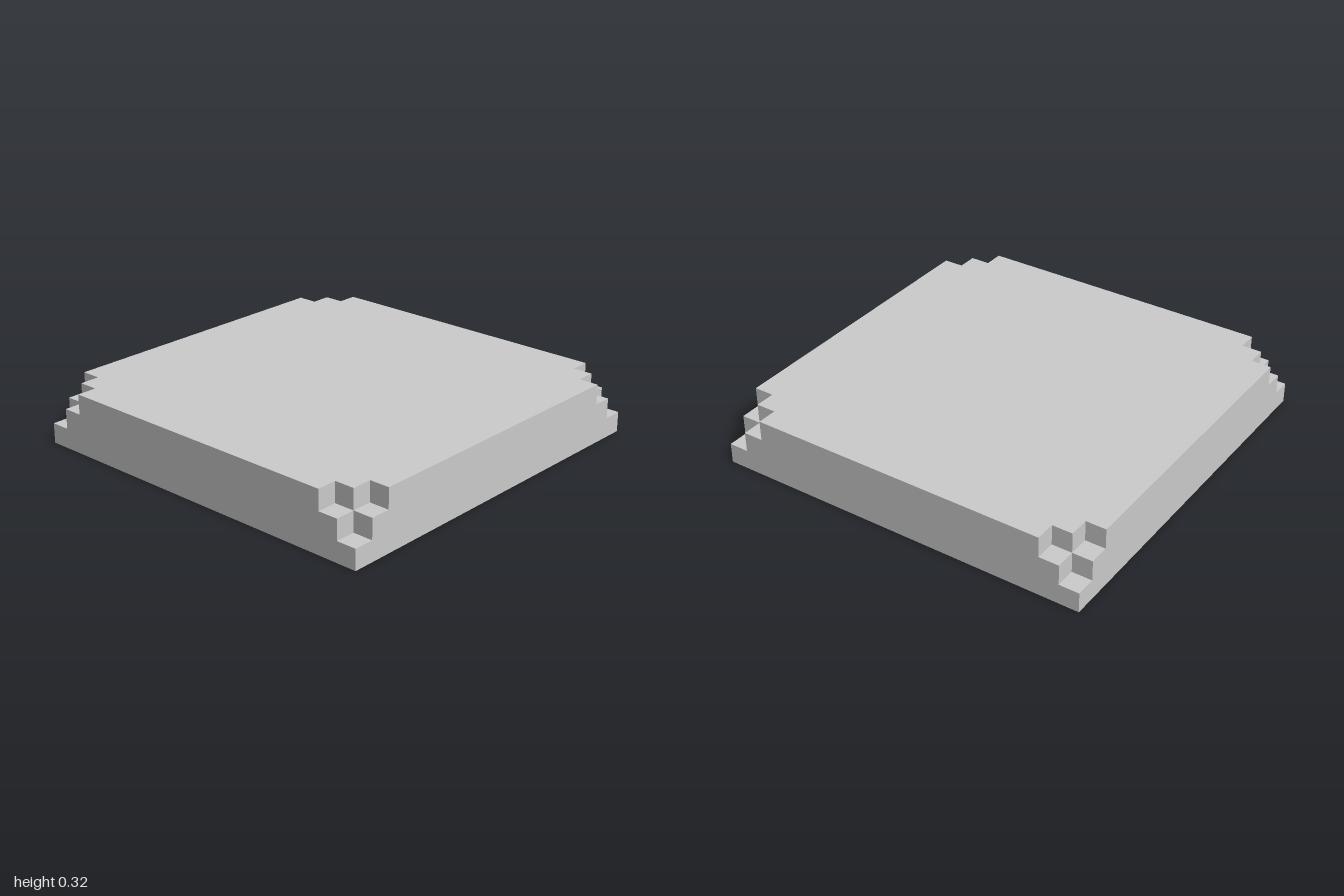
import * as THREE from 'three';

const U = 2 / 19; // size of one block step

// Square outline whose four corners are cut back in n stair steps
function steppedSquare(n) {
  const corner = [];
  for (let i = 0; i <= n; i++) {
    corner.push([1 - i * U, 1 - (n - i) * U]);
    if (i < n) corner.push([1 - (i + 1) * U, 1 - (n - i) * U]);
  }
  // drop the zero-width ends so the steps begin on the square's sides
  const points = [];
  for (let q = 0; q < 4; q++) {
    for (const [x, y] of corner) {
      const [c, s] = [[1, 0], [0, 1], [-1, 0], [0, -1]][q];
      points.push(new THREE.Vector2(c * x - s * y, s * x + c * y));
    }
  }
  return new THREE.Shape(points);
}

export function createModel() {
  const group = new THREE.Group();
  group.name = 'steppedSlab';
  const material = new THREE.MeshStandardMaterial({ color: 0xcccccc, flatShading: true });

  // Three stacked layers; each higher one loses one more step at its corners
  ['baseLayer', 'middleLayer', 'topLayer'].forEach((name, n) => {
    const geometry = new THREE.ExtrudeGeometry(steppedSquare(n), { depth: U, bevelEnabled: false });
    geometry.rotateX(-Math.PI / 2);
    const layer = new THREE.Mesh(geometry, material);
    layer.name = name;
    layer.position.y = n * U;
    group.add(layer);
  });
  return group;
}
